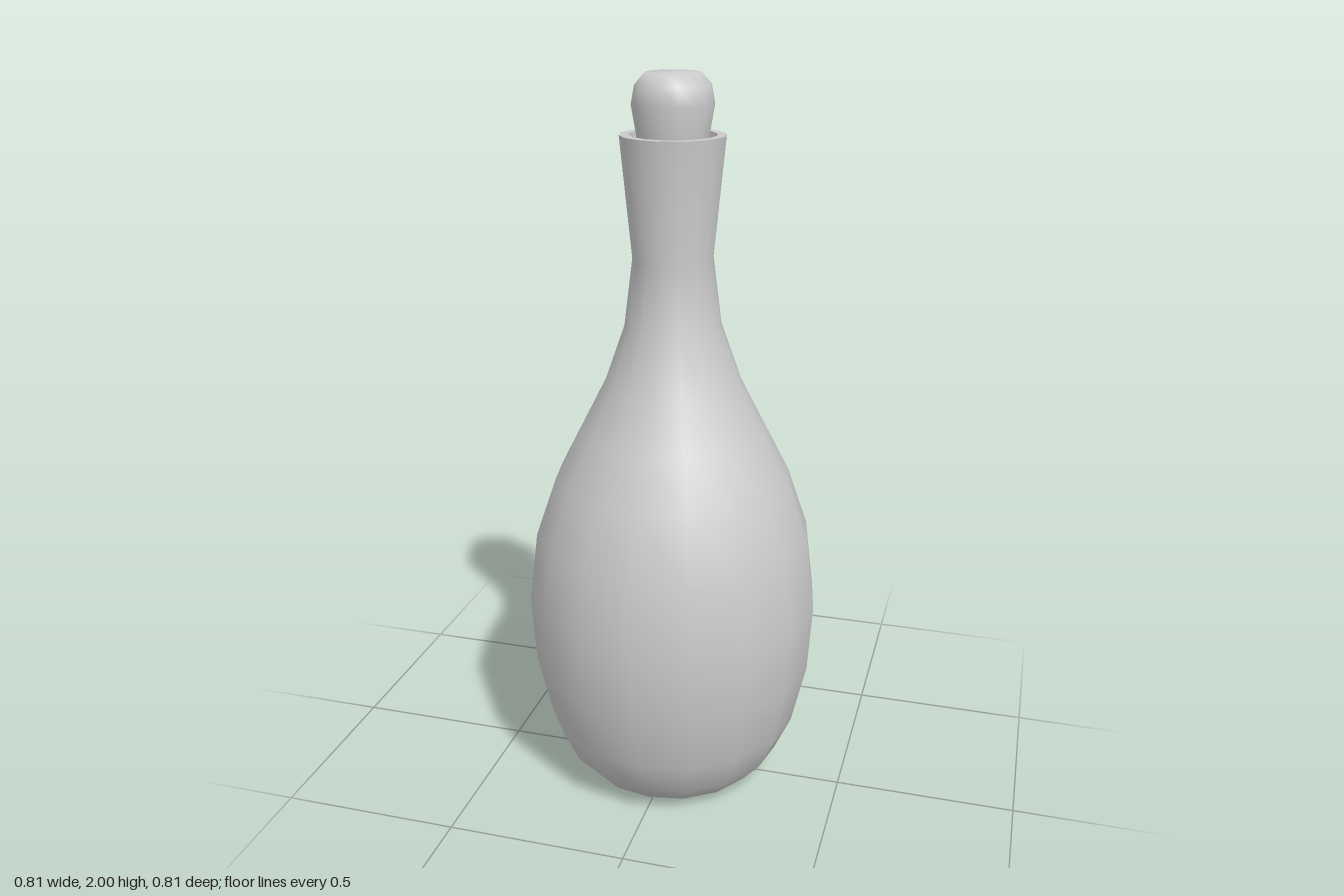
import * as THREE from 'three';

const SIDES = 16;

// Turned part from [radius, height] pairs; rising profiles face outward
function turned(name, profile) {
  const points = profile.map(([r, y]) => new THREE.Vector2(r, y));
  const material = new THREE.MeshStandardMaterial({ color: 0xcccccc });
  const mesh = new THREE.Mesh(new THREE.LatheGeometry(points, SIDES), material);
  mesh.name = name;
  return mesh;
}

export function createModel() {
  const model = new THREE.Group();
  model.name = 'stopperedBottle';

  // Outer glass, from the base centre up to the flared mouth
  const outer = [
    [0, 0], [0.18, 0], [0.255, 0.028], [0.31, 0.09], [0.355, 0.19],
    [0.395, 0.365], [0.407, 0.555], [0.382, 0.755], [0.325, 0.92],
    [0.256, 1.055], [0.187, 1.19], [0.13, 1.35], [0.107, 1.53], [0.138, 1.845],
  ];
  model.add(turned('bottleBody', outer));

  // Flat rim and inner wall of the glass
  const wall = 0.024;
  const inner = outer.map(([r, y], i) =>
    [Math.max(r - wall, 0), i === outer.length - 1 ? y : y + wall]).reverse();
  model.add(turned('rim', [outer[outer.length - 1], inner[0]]));
  model.add(turned('innerWall', inner));

  // Rounded stopper with a tapered plug reaching into the neck
  model.add(turned('stopper', [
    [0, 1.74], [0.08, 1.74], [0.087, 1.775], [0.094, 1.845], [0.107, 1.92],
    [0.098, 1.968], [0.072, 1.997], [0, 2],
  ]));

  return model;
}
